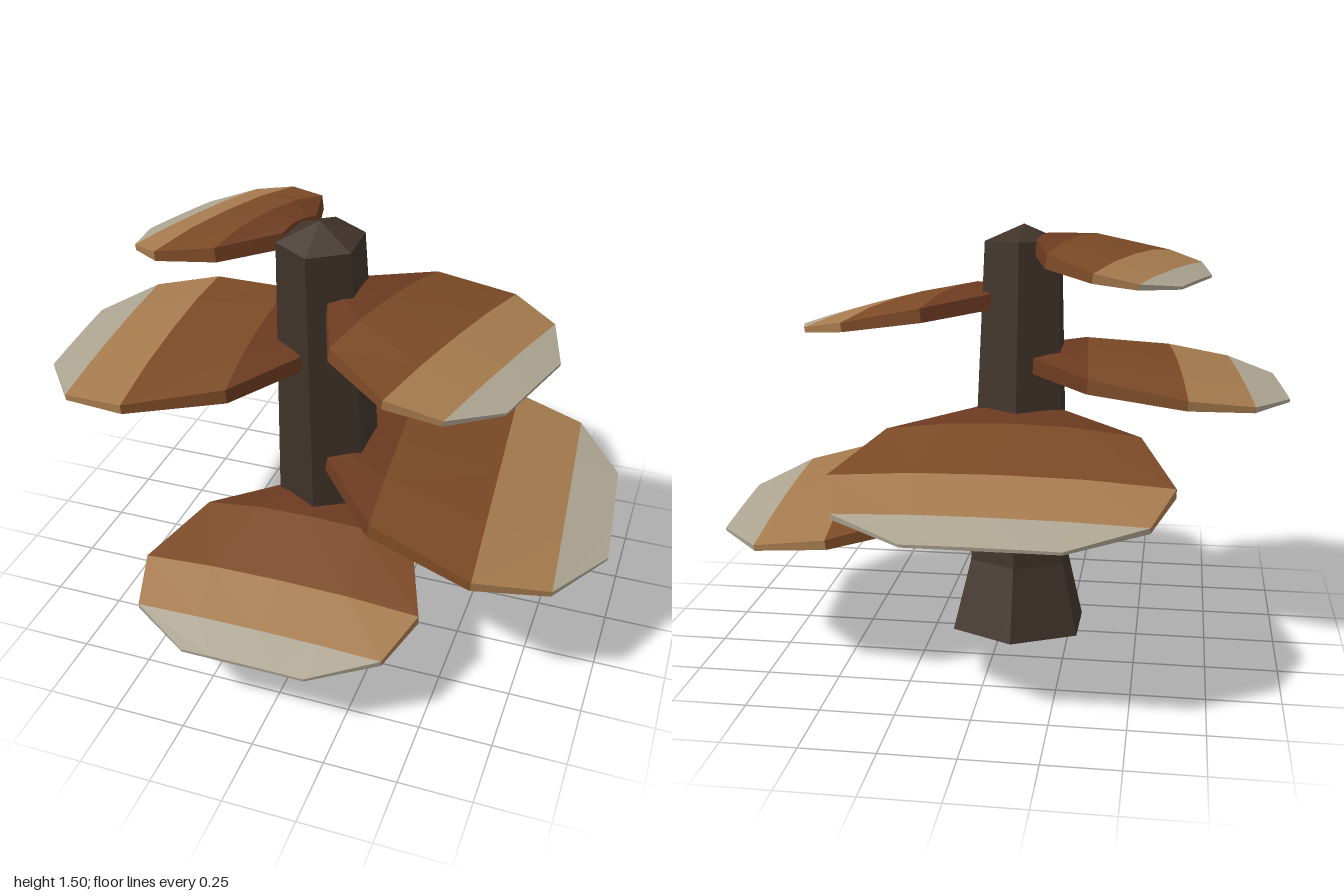
import * as THREE from 'three';

const mat = (color) => new THREE.MeshStandardMaterial({ color, flatShading: true });

// Stations along a shelf: position, half width, rim height, crown height (as fractions)
const STATIONS = [
  [0, 0.24, 0.055, 0.07],
  [0.23, 0.78, 0.05, 0.085],
  [0.59, 1, 0.033, 0.058],
  [0.84, 0.87, 0.02, 0.031],
  [1, 0.43, 0.01, 0.012],
];
const BAND_COLORS = [0x6c3a20, 0x7c4a26, 0xa67b4e, 0xaea592];
const BAND_NAMES = ['innerBand', 'middleBand', 'outerBand', 'paleRim'];

// Cross-section running from the left lower edge over the crown to the right lower edge
function section([s, w, rim, crown], length, half) {
  const x = w * half, z = s * length;
  const shoulder = rim + (crown - rim) * 0.8;
  return [[-1, 0], [-1, rim], [-0.5, shoulder], [0, crown], [0.5, shoulder], [1, rim], [1, 0]]
    .map(([u, y]) => new THREE.Vector3(u * x, y, z));
}

function facets(triangles) {
  const g = new THREE.BufferGeometry().setFromPoints(triangles);
  g.computeVertexNormals();
  return g;
}

// Bracket shelf growing outward along local +z, flat underneath
function makeShelf({ name, at, angle, length, half, drop }) {
  const shelf = new THREE.Group();
  shelf.name = name;
  const rows = STATIONS.map((st) => section(st, length, half));
  const under = [];
  const last = rows[0].length - 1;
  for (let i = 0; i < rows.length - 1; i++) {
    const a = rows[i], b = rows[i + 1], tris = [];
    for (let j = 0; j < last; j++) {
      tris.push(a[j], b[j], b[j + 1], a[j], b[j + 1], a[j + 1]);
    }
    under.push(a[last], b[last], b[0], a[last], b[0], a[0]);
    // End caps
    for (let j = 1; j < last; j++) {
      if (i === 0) tris.push(a[0], a[j], a[j + 1]);
      if (i === rows.length - 2) tris.push(b[0], b[j + 1], b[j]);
    }
    const band = new THREE.Mesh(facets(tris), mat(BAND_COLORS[i]));
    band.name = BAND_NAMES[i];
    shelf.add(band);
  }
  const underside = new THREE.Mesh(facets(under), mat(0x948b7c));
  underside.name = 'underside';
  shelf.add(underside);
  shelf.position.set(...at);
  shelf.rotation.set(Math.atan2(drop, length), angle, 0, 'YXZ');
  return shelf;
}

export function createModel() {
  const model = new THREE.Group();
  model.name = 'bracketFungusStump';

  // Leaning six-sided trunk with a flared foot and a low pointed top
  const profile = [[0, 0], [0.262, 0], [0.195, 0.26], [0.15, 1.42], [0, 1.48]]
    .map(([r, y]) => new THREE.Vector2(r, y));
  const trunk = new THREE.Mesh(new THREE.LatheGeometry(profile, 6), mat(0x40332a));
  trunk.name = 'trunk';
  trunk.position.set(-0.06, 0.02, 0.02);
  trunk.rotation.x = 0.072;
  model.add(trunk);

  // Shelves spiral up the trunk; angle is measured from +z towards +x
  const shelves = [
    { name: 'frontShelf', at: [-0.06, 0.36, 0.09], angle: 0, length: 0.835, half: 0.5, drop: 0.105 },
    { name: 'lowerLeftShelf', at: [-0.05, 0.585, 0.055], angle: 1.66, length: 1.04, half: 0.597, drop: 0.147 },
    { name: 'backShelf', at: [-0.06, 0.795, 0.04], angle: Math.PI, length: 0.97, half: 0.57, drop: 0.155 },
    { name: 'rightShelf', at: [-0.08, 0.99, 0.095], angle: -1.49, length: 0.915, half: 0.487, drop: 0.075 },
    { name: 'upperLeftShelf', at: [0.01, 1.205, 0.105], angle: 1.3, length: 0.735, half: 0.42, drop: 0.1 },
    { name: 'topShelf', at: [-0.14, 1.4, 0.09], angle: -1.91, length: 0.57, half: 0.353, drop: 0.073 },
  ];
  for (const s of shelves) model.add(makeShelf(s));
  return model;
}
